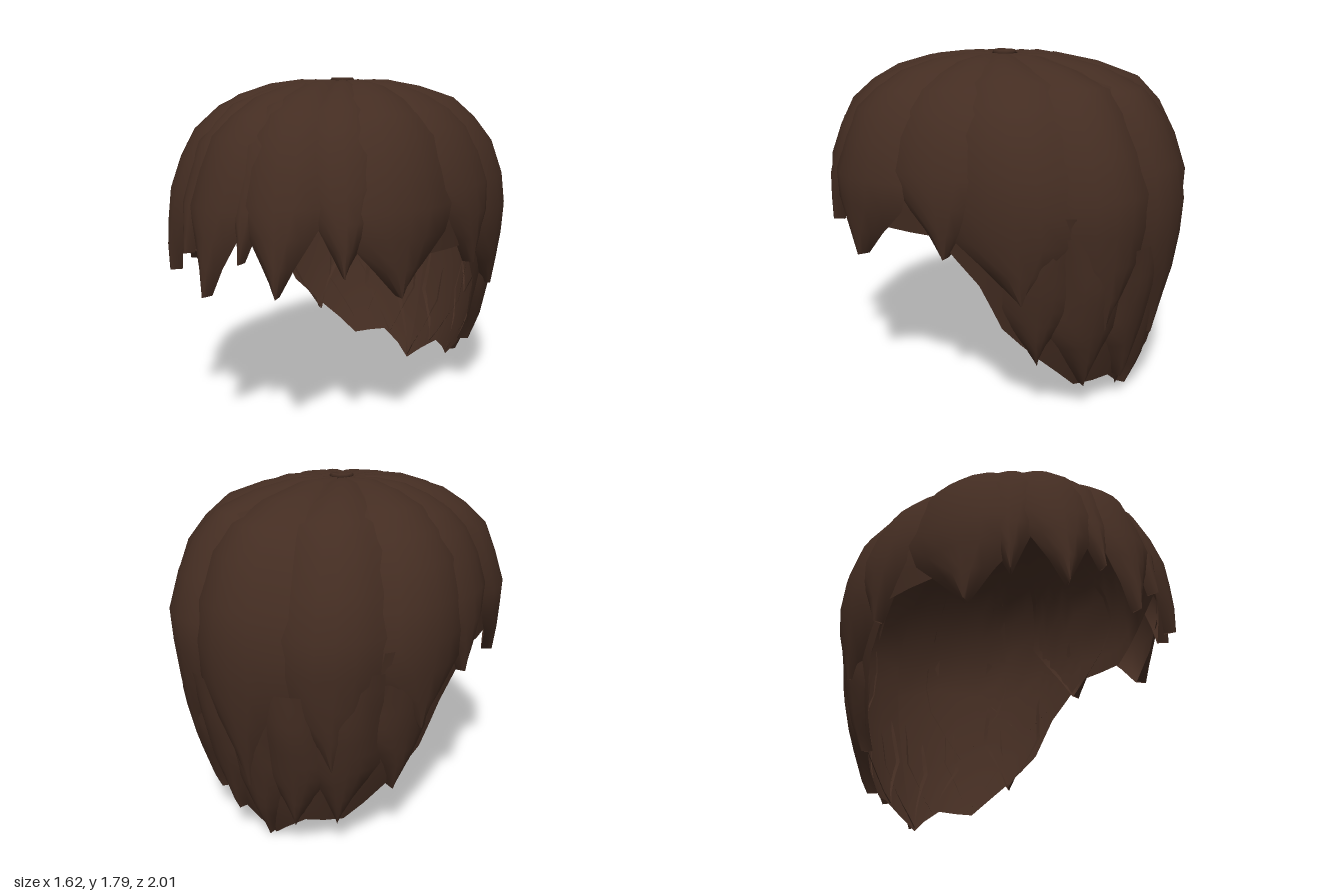
import * as THREE from 'three';

const hair = new THREE.MeshStandardMaterial({ color: 0x442d22, side: THREE.DoubleSide });
hair.name = 'dark brown hair';

// Head form from crown to nape: [height, half width, front depth, back depth]
const FORM = [
  [1.77, 0.02, 0.02, 0.02], [1.77, 0.29, 0.32, 0.32], [1.67, 0.54, 0.65, 0.69],
  [1.5, 0.71, 0.84, 0.84], [1.2, 0.8, 0.95, 0.97], [0.95, 0.78, 0.98, 0.96],
  [0.7, 0.74, 0.98, 0.93], [0.45, 0.69, 0.97, 0.87], [0.2, 0.58, 0.9, 0.81], [0, 0.45, 0.8, 0.72],
];
const rad = THREE.MathUtils.degToRad;
const lerp = THREE.MathUtils.lerp;

// Row position on the form for a given height
function rowAt(y) {
  for (let i = 1; i < FORM.length - 1; i++) {
    if (y >= FORM[i + 1][0]) return i + (FORM[i][0] - y) / (FORM[i][0] - FORM[i + 1][0]);
  }
  return FORM.length - 1;
}

// Point on the form at angle a (0 = front, 90 = left) and row s, pushed out by d
function formPoint(a, s, d) {
  const i = Math.min(Math.floor(s), FORM.length - 2);
  const [y, w, f, b] = FORM[i].map((v, k) => lerp(v, FORM[i + 1][k], s - i));
  const sx = Math.sin(rad(a)), cz = Math.cos(rad(a));
  const p = 2.25; // slightly squarer than an ellipse
  const k = Math.pow(Math.pow(Math.abs(sx), p) + Math.pow(Math.abs(cz), p), -1 / p);
  const out = Math.min(s / 3, 1);
  return [sx * k * (w + d * out), y + d * (1 - out), cz * k * ((cz > 0 ? f : b) + d * out)];
}

// Smooth sheet from a rule (u down, v across) => point
function sheet(name, rows, cols, rule) {
  const pos = [], idx = [];
  for (let i = 0; i <= rows; i++) {
    for (let j = 0; j <= cols; j++) {
      pos.push(...rule(i / rows, j / cols));
      if (i < rows && j < cols) {
        const a = i * (cols + 1) + j, b = a + cols + 1;
        idx.push(a, b, b + 1, a, b + 1, a + 1);
      }
    }
  }
  const g = new THREE.BufferGeometry();
  g.setAttribute('position', new THREE.Float32BufferAttribute(pos, 3));
  g.setIndex(idx);
  g.computeVertexNormals();
  const m = new THREE.Mesh(g, hair);
  m.name = name;
  return m;
}

// Pointed lock: bulging across its width, edges tucked under its neighbours
function lock(name, { a, half, top = 1.77, tip, sweep = 0, lift = 0, point = 0.68 }) {
  const s0 = top >= 1.77 ? 0.15 : rowAt(top), s1 = rowAt(tip);
  return sheet(name, 10, 6, (u, v) => {
    const c = v * 2 - 1;
    const taper = u < point ? lerp(0.8, 1, u / point) : Math.max(0.02, (1 - u) / (1 - point));
    const angle = a - sweep * (1 - u) + c * half * taper;
    const grow = Math.min(1, u * 3);
    const d = (-0.04 + 0.06 * (1 - c * c)) * grow + lift * grow;
    return formPoint(angle, lerp(s0, s1, u), d);
  });
}

// Hem of the under cap: [angle from the front, height]
const HEM = [[0, 1.2], [60, 1.12], [73, 0.96], [92, 0.96], [105, 0.73], [112, 0.5],
  [124, 0.32], [139, 0.13], [158, 0.15], [180, 0]];
function hemAt(angle) {
  const a = Math.abs(angle);
  const i = Math.min(HEM.length - 2, HEM.findIndex((h, k) => k === HEM.length - 1 || a <= HEM[k + 1][0]));
  return lerp(HEM[i][1], HEM[i + 1][1], (a - HEM[i][0]) / (HEM[i + 1][0] - HEM[i][0]));
}

export function createModel() {
  const group = new THREE.Group();
  group.name = 'hair';

  // Under cap, with columns placed exactly on the corners of the hem
  const stops = [...HEM.slice(1).map((h) => -h[0]).reverse(), ...HEM.map((h) => h[0])];
  const angles = stops.flatMap((s, i) => (i ? [(stops[i - 1] + s) / 2, s] : [s]));
  const cols = angles.length - 1;
  group.add(sheet('underCap', 12, cols, (u, v) => {
    const a = angles[Math.round(v * cols)];
    return formPoint(a, u * rowAt(hemAt(a)), -0.03);
  }));

  // Fringe locks over the forehead
  const fringe = [
    { a: -31, half: 17, tip: 0.83, sweep: -4, lift: 0.005 },
    { a: -4, half: 18, tip: 0.77, sweep: -6, lift: 0.012 },
    { a: 25, half: 18, tip: 0.81, sweep: 7, lift: 0.008 },
    { a: 45, half: 15, tip: 0.9, sweep: 5, lift: 0 },
    { a: -48, half: 14, tip: 0.9, sweep: -5, lift: -0.008 },
    { a: -17, half: 12, tip: 0.95, lift: -0.012 },
    { a: 11, half: 12, tip: 0.95, lift: -0.012 },
  ];
  fringe.forEach((o) => group.add(lock('fringeLock', o)));

  // Locks repeated on both sides of the head
  const sides = [
    ['templeLock', { a: 63, half: 21, tip: 0.78, sweep: 2, lift: 0.012, point: 0.76 }],
    ['earLock', { a: 95, half: 21, tip: 0.86, sweep: 6, lift: 0, point: 0.7 }],
    ['behindEarLock', { a: 118, half: 20, tip: 0.66, sweep: 5, lift: 0.01, point: 0.8 }],
    ['backSideLock', { a: 146, half: 19, tip: 0.5, sweep: 2, lift: 0.004, point: 0.76 }],
    // Lower layer down to the nape
    ['lowerSideLock', { a: 123, half: 13, top: 1.1, tip: 0.3, lift: -0.005, point: 0.6 }],
    ['lowerBackLock', { a: 141, half: 14, top: 1.0, tip: 0.15, lift: 0.004, point: 0.6 }],
    ['napeLock', { a: 163, half: 15, top: 0.9, tip: 0.14, lift: -0.003, point: 0.6 }],
  ];
  for (const side of [1, -1]) {
    sides.forEach(([name, o], i) => {
      const shift = side < 0 ? (i % 2 ? 2 : -1) : 0; // slight unevenness
      group.add(lock(name, { ...o, a: side * (o.a + shift), sweep: side * o.sweep || 0 }));
    });
  }

  // Long middle lock at the back and the nape point under it
  group.add(lock('backLock', { a: 178, half: 21, tip: 0.36, lift: 0.014, point: 0.7 }));
  group.add(lock('napePoint', { a: 180, half: 15, top: 0.8, tip: 0.02, lift: -0.004, point: 0.5 }));

  // Small whorl at the crown
  const whorl = new THREE.Mesh(new THREE.TorusGeometry(0.05, 0.014, 6, 10), hair);
  whorl.name = 'crownWhorl';
  whorl.rotation.x = Math.PI / 2;
  whorl.position.y = 1.775;
  group.add(whorl);
  return group;
}
